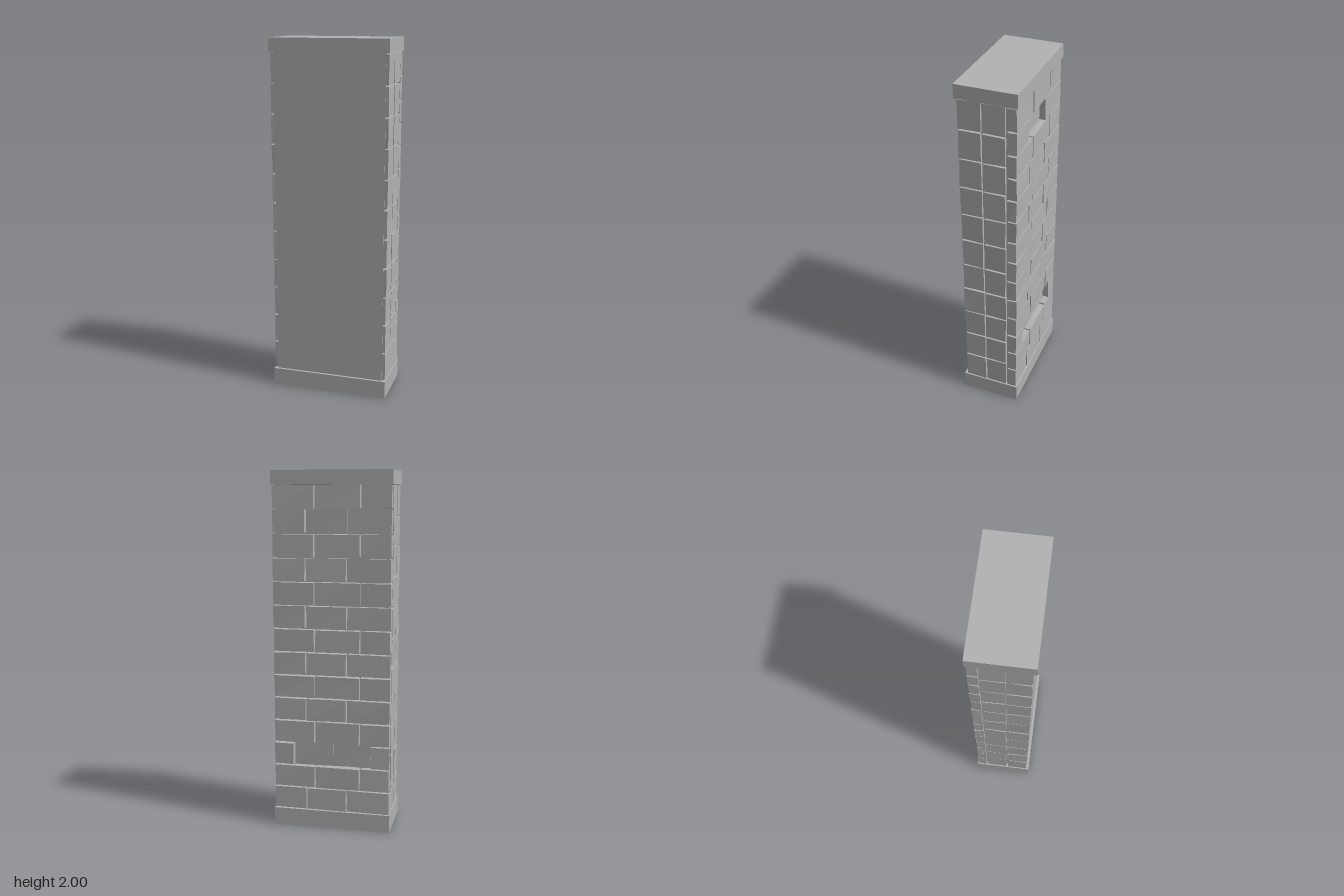
import * as THREE from 'three';

export function createModel() {
  const model = new THREE.Group();
  model.name = 'brickPillar';
  const stone = new THREE.MeshStandardMaterial({ color: 0xb2b2b2 });
  stone.name = 'grey stone';

  let seed = 7;
  const jitter = (a) => {
    seed = (seed * 16807) % 2147483647;
    return (seed / 2147483647 - 0.5) * 2 * a;
  };

  // box given by its limits on each axis; wobble shifts the corners slightly
  function block(name, x0, x1, y0, y1, z0, z1, parent, wobble = 0) {
    const g = new THREE.BoxGeometry(x1 - x0, y1 - y0, z1 - z0).toNonIndexed();
    const p = g.attributes.position;
    const moved = {};
    for (let i = 0; wobble && i < p.count; i++) {
      const key = [p.getX(i), p.getY(i), p.getZ(i)].map((v) => v > 0).join();
      const d = (moved[key] ??= [jitter(wobble), jitter(wobble), jitter(wobble)]);
      p.setXYZ(i, p.getX(i) + d[0], p.getY(i) + d[1], p.getZ(i) + d[2]);
    }
    g.computeVertexNormals();
    const mesh = new THREE.Mesh(g, stone);
    mesh.name = name;
    mesh.position.set((x0 + x1) / 2, (y0 + y1) / 2, (z0 + z1) / 2);
    parent.add(mesh);
  }

  // base, capstone and the plain core whose front stays smooth
  const bottom = 0.1, top = 1.925;
  block('base', -0.333, 0.333, 0, bottom, -0.167, 0.167, model);
  block('capstone', -0.333, 0.333, top, 2, -0.167, 0.167, model);
  block('core', -0.311, 0.311, bottom, top, -0.122, 0.153, model);

  // side bricks: two stacked columns on each side
  const sideBricks = new THREE.Group();
  sideBricks.name = 'sideBricks';
  model.add(sideBricks);
  const sideRows = 11, sideH = (top - bottom) / sideRows, gap = 0.004;
  for (const s of [-1, 1]) {
    for (let r = 0; r < sideRows; r++) {
      const y0 = bottom + r * sideH + gap, y1 = bottom + (r + 1) * sideH - gap;
      for (const [z0, z1] of [[-0.098, 0.022], [0.03, 0.151]]) {
        const inner = s * 0.29, outer = s * 0.328;
        block('sideBrick', Math.min(inner, outer), Math.max(inner, outer), y0, y1, z0, z1, sideBricks, 0.002);
      }
    }
  }

  // back bricks: staggered rows, counted from the top, with a few set back
  const backBricks = new THREE.Group();
  backBricks.name = 'backBricks';
  model.add(backBricks);
  const backRows = 14, backH = (top - bottom) / backRows;
  const joints = [[-0.327, -0.16, 0.095, 0.327], [-0.327, -0.085, 0.145, 0.327]];
  for (let r = 0; r < backRows; r++) {
    const xs = r === 11 ? [-0.327, -0.22, -0.01, 0.215, 0.327] : joints[r % 2];
    const y1 = top - r * backH - gap, y0 = top - (r + 1) * backH + gap;
    for (let i = 0; i < xs.length - 1; i++) {
      const setBack = (r === 1 && i === 1) || (r === 11 && (i === 1 || i === 2));
      const face = setBack ? -0.128 : -0.16;
      const x0 = xs[i] + (i ? gap : 0), x1 = xs[i + 1] - (i < xs.length - 2 ? gap : 0);
      block('backBrick', x0, x1, y0, y1, face, -0.108, backBricks, 0.002);
    }
  }
  return model;
}
